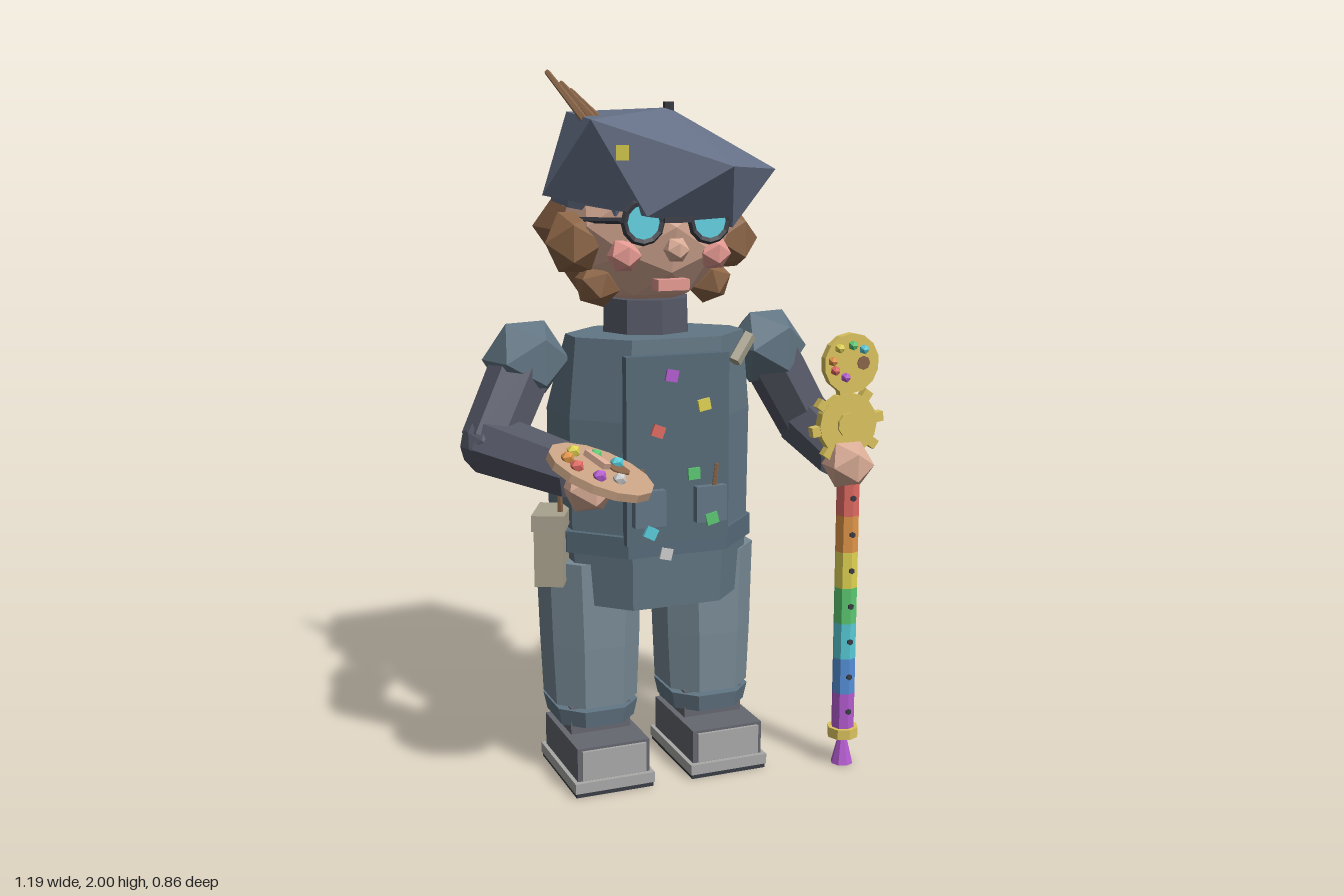
import * as THREE from 'three';
import { ConvexGeometry } from 'three/addons/geometries/ConvexGeometry.js';

const CX = -0.03, CZ = -0.11; // body axis
const V = (x, y, z) => new THREE.Vector3(x, y, z);
const C = {
  hat: 0x657086, coat: 0x627684, trousers: 0x788a95, sleeve: 0x555866, apron: 0x566a78,
  skin: 0xdcae98, hair: 0x8d6647, wood: 0xc9a384, brush: 0x8a664a, gold: 0xdcc45e,
  boot: 0x666870, sole: 0xa9a9a8, dark: 0x3a3c44, bag: 0xa8a28e, lens: 0x62cfdf, pink: 0xe59a92,
  red: 0xe06a62, orange: 0xe09548, yellow: 0xe0d352, green: 0x5cc872, cyan: 0x58cbd8,
  blue: 0x5590d8, purple: 0xb45cd0, white: 0xcfcfcf,
};

export function createModel() {
  const root = new THREE.Group();
  const mats = {};
  const mat = (c) => (mats[c] ??= new THREE.MeshStandardMaterial({ color: C[c], flatShading: true }));
  const add = (name, geo, c, p = V(0, 0, 0), parent = root) => {
    const m = new THREE.Mesh(geo, mat(c));
    m.name = name;
    m.position.copy(p);
    parent.add(m);
    return m;
  };
  const box = (name, w, h, d, c, p, parent) => add(name, new THREE.BoxGeometry(w, h, d), c, p, parent);
  const ball = (name, r, c, p, detail = 0, parent = root) => add(name, new THREE.IcosahedronGeometry(r, detail), c, p, parent);
  const cyl = (name, rt, rb, h, n, c, p, parent) => add(name, new THREE.CylinderGeometry(rt, rb, h, n), c, p, parent);
  const rod = (name, a, b, ra, rb, n, c) => {
    const m = cyl(name, rb, ra, a.distanceTo(b), n, c, a.clone().lerp(b, 0.5));
    m.quaternion.setFromUnitVectors(V(0, 1, 0), b.clone().sub(a).normalize());
    return m;
  };
  // chamfered rectangle ring (front chamfer c, back chamfer cb), counterclockwise from above
  const ring = (y, hx, zf, zb, c, cb = c) => [
    [hx - c, zf], [hx, zf - c], [hx, zb + cb], [hx - cb, zb],
    [cb - hx, zb], [-hx, zb + cb], [-hx, zf - c], [c - hx, zf]].map(([x, z]) => [x, y, z]);
  // closed loft through rings of equal count, bottom to top
  const loft = (rings) => {
    const n = rings[0].length, pos = rings.flat(2), idx = [];
    for (let r = 0; r + 1 < rings.length; r++) for (let i = 0; i < n; i++) {
      const a = r * n + i, b = r * n + (i + 1) % n;
      idx.push(a, b, b + n, a, b + n, a + n);
    }
    const t = (rings.length - 1) * n;
    for (let i = 1; i + 1 < n; i++) idx.push(0, i + 1, i, t, t + i, t + i + 1);
    const g = new THREE.BufferGeometry();
    g.setAttribute('position', new THREE.Float32BufferAttribute(pos, 3));
    g.setIndex(idx);
    g.computeVertexNormals();
    return g;
  };

  // coat, belt and neck
  add('coat', loft([ring(0.53, 0.25, 0.11, -0.39, 0.12, 0.16), ring(0.72, 0.265, 0.12, -0.4, 0.13, 0.17),
    ring(1.06, 0.27, 0.12, -0.39, 0.13, 0.17), ring(1.285, 0.25, 0.11, -0.23, 0.12, 0.13)]), 'coat', V(CX + 0.01, 0, 0));
  add('belt', loft([ring(0.685, 0.28, 0.13, -0.41, 0.135, 0.175), ring(0.745, 0.28, 0.13, -0.41, 0.135, 0.175)]),
    'apron', V(CX + 0.005, 0, 0));
  box('beltTie', 0.1, 0.055, 0.03, 'apron', V(CX, 0.715, -0.415));
  cyl('neck', 0.125, 0.13, 0.14, 8, 'sleeve', V(CX, 1.31, CZ + 0.01));

  // apron with pockets, brushes and paint spots
  box('apron', 0.3, 0.52, 0.03, 'apron', V(CX, 0.985, 0.13));
  for (const s of [-1, 1]) {
    box('apronPocket', 0.09, 0.1, 0.03, 'coat', V(CX + s * 0.09, 0.83, 0.155));
    rod('pocketBrush', V(CX + s * 0.1, 0.85, 0.155), V(CX + s * 0.11, 0.94, 0.155), 0.008, 0.006, 5, 'brush');
  }
  for (const [x, y, c] of [[-0.05, 1.19, 'purple'], [-0.09, 1.04, 'red'], [0.045, 1.105, 'yellow'],
    [0.015, 0.915, 'green'], [-0.12, 0.765, 'cyan'], [0.06, 0.79, 'green'], [-0.06, 0.69, 'white']]) {
    const spot = box('paintSpot', 0.035, 0.032, 0.01, c, V(x, y, y < 0.7 ? 0.13 : y < 0.8 ? 0.17 : 0.148));
    spot.rotation.z = x * 4;
  }
  rod('chestPencil', V(0.155, 1.21, 0.1), V(0.21, 1.28, 0.08), 0.02, 0.02, 5, 'bag');

  // legs and boots
  for (const s of [-1, 1]) {
    const x = CX + s * 0.175;
    add('trouserLeg', loft([ring(0.225, 0.122, 0.02, -0.24, 0.065), ring(0.4, 0.13, 0.025, -0.245, 0.07),
      ring(0.65, 0.137, 0.025, -0.25, 0.07)]), 'trousers', V(x, 0, 0));
    add('trouserCuff', loft([ring(0.165, 0.11, 0.015, -0.235, 0.055), ring(0.215, 0.12, 0.025, -0.245, 0.06)]), 'coat', V(x, 0, 0));
    box('ankle', 0.18, 0.12, 0.2, 'boot', V(x, 0.16, -0.115));
    box('boot', 0.215, 0.1, 0.3, 'boot', V(x, 0.09, -0.055));
    box('toePanel', 0.19, 0.085, 0.012, 'sole', V(x, 0.09, 0.098));
    box('sole', 0.238, 0.03, 0.33, 'sole', V(x, 0.028, -0.055));
    box('soleBottom', 0.23, 0.014, 0.322, 'dark', V(x, 0.007, -0.055));
  }

  // arms
  const arm = (shoulder, elbow, wrist, hand) => {
    const sh = ball('shoulder', 0.12, 'coat', shoulder);
    sh.rotation.y = 0.3;
    rod('upperSleeve', shoulder, elbow, 0.09, 0.085, 7, 'sleeve');
    ball('elbow', 0.085, 'sleeve', elbow, 1);
    rod('lowerSleeve', elbow, wrist, 0.088, 0.073, 7, 'sleeve');
    ball('hand', 0.075, 'skin', hand);
  };
  arm(V(-0.385, 1.22, -0.1), V(-0.505, 1.0, -0.04), V(-0.335, 0.95, 0.17), V(-0.31, 0.92, 0.21));
  arm(V(0.345, 1.22, -0.1), V(0.475, 0.99, -0.09), V(0.485, 0.92, 0.12), V(0.485, 0.905, 0.16));

  // held paint palette
  const blobs = [[-20, -17, 'yellow'], [0, -20, 'green'], [17, -14, 'cyan'], [-30, 0, 'orange'],
    [-26, 13, 'red'], [-10, 23, 'purple'], [8, 20, 'white']];
  const palette = new THREE.Group();
  palette.name = 'palette';
  palette.position.set(-0.305, 0.975, 0.29);
  palette.quaternion.setFromUnitVectors(V(0, 1, 0), V(0.32, 1, 0.25).normalize());
  root.add(palette);
  cyl('paletteBoard', 0.145, 0.145, 0.022, 14, 'wood', V(0, 0, 0), palette);
  cyl('thumbHole', 0.032, 0.032, 0.006, 8, 'brush', V(0.055, 0.012, -0.02), palette);
  box('thumb', 0.025, 0.03, 0.08, 'skin', V(-0.005, 0.012, -0.035), palette).rotation.y = 0.45;
  for (const [x, z, c] of blobs) ball('paintBlob', 0.019, c, V(x / 300, 0.018, z / 300), 0, palette);

  // rainbow staff
  const SX = 0.49, SZ = 0.155, seg = 0.107;
  ['purple', 'blue', 'cyan', 'green', 'yellow', 'orange', 'red'].forEach((c, i) => {
    cyl('staffBand', 0.034, 0.034, seg, 8, c, V(SX, 0.115 + seg * (i + 0.5), SZ));
    const hole = cyl('staffHole', 0.009, 0.009, 0.008, 6, 'dark', V(SX, 0.115 + seg * (i + 0.5), SZ + 0.033));
    hole.rotation.x = Math.PI / 2;
  });
  cyl('staffRing', 0.046, 0.046, 0.03, 8, 'gold', V(SX, 0.1, SZ));
  cyl('staffTip', 0.012, 0.033, 0.085, 8, 'purple', V(SX, 0.043, SZ));

  // gear and paint disc on top of the staff
  const gear = new THREE.Group();
  gear.name = 'gear';
  gear.position.set(SX - 0.005, 1.02, 0.145);
  root.add(gear);
  cyl('gearDisc', 0.09, 0.09, 0.03, 16, 'gold', V(0, 0, 0), gear).rotation.x = Math.PI / 2;
  cyl('gearHub', 0.036, 0.036, 0.045, 10, 'gold', V(0, 0, 0), gear).rotation.x = Math.PI / 2;
  for (let i = 0; i < 8; i++) {
    const a = (i + 0.2) * Math.PI / 4;
    box('gearTooth', 0.035, 0.028, 0.026, 'gold', V(0.096 * Math.cos(a), 0.096 * Math.sin(a), 0), gear).rotation.z = a;
  }
  const disc = cyl('paintDisc', 0.086, 0.086, 0.024, 14, 'gold', V(SX, 1.195, 0.15));
  disc.rotation.x = Math.PI / 2;
  cyl('discHole', 0.02, 0.02, 0.006, 8, 'brush', V(0.036, 0.012, 0), disc);
  for (const [x, z, c] of blobs.slice(0, 6)) ball('discBlob', 0.015, c, V(x / 480, 0.016, z / 480 - 0.01), 0, disc);

  // hip bag
  const bag = new THREE.Group();
  bag.name = 'hipBag';
  bag.position.set(-0.335, 0.7, -0.04);
  bag.rotation.y = -0.45;
  root.add(bag);
  box('bagBody', 0.08, 0.19, 0.15, 'bag', V(0, -0.005, 0), bag);
  box('bagFlap', 0.092, 0.045, 0.16, 'bag', V(0, 0.08, 0), bag);
  rod('bagBrush', V(-0.32, 0.78, -0.01), V(-0.325, 0.89, 0), 0.009, 0.007, 5, 'brush');

  // head
  ball('head', 1, 'skin', V(CX, 1.585, CZ), 1).scale.set(0.25, 0.235, 0.245);
  ball('backHair', 1, 'hair', V(CX, 1.57, -0.19)).scale.set(0.31, 0.225, 0.25);
  ball('nose', 0.036, 'skin', V(CX, 1.525, 0.13));
  box('mouth', 0.09, 0.03, 0.05, 'pink', V(CX, 1.43, 0.09));
  box('glassesBridge', 0.08, 0.015, 0.015, 'dark', V(CX, 1.605, 0.14));
  for (const s of [-1, 1]) {
    ball('sideHair', 0.095, 'hair', V(CX + s * 0.22, 1.54, -0.05)).rotation.y = s * 0.4;
    ball('lowerHair', 0.066, 'hair', V(CX + s * 0.165, 1.425, -0.04)).rotation.z = s * 0.3;
    ball('cheek', 0.048, 'pink', V(CX + s * 0.13, 1.51, 0.08));
    add('glassesRim', new THREE.TorusGeometry(0.053, 0.01, 5, 12), 'dark', V(CX + s * 0.095, 1.6, 0.13));
    cyl('lens', 0.05, 0.05, 0.012, 12, 'lens', V(CX + s * 0.095, 1.6, 0.13)).rotation.x = Math.PI / 2;
    rod('glassesArm', V(CX + s * 0.15, 1.605, 0.12), V(CX + s * 0.24, 1.6, -0.06), 0.009, 0.009, 5, 'dark');
  }

  // beret: tilted faceted cap over a band
  add('beret', new ConvexGeometry([
    V(0.035, 1.9, -0.09),
    V(0.36, 1.73, -0.08), V(0.09, 1.745, 0.235), V(-0.25, 1.865, 0.08), V(-0.2, 1.89, -0.28), V(0.18, 1.83, -0.37),
    V(0.14, 1.58, 0.115), V(-0.12, 1.615, 0.15), V(-0.33, 1.665, -0.1), V(-0.01, 1.72, -0.41), V(0.29, 1.64, -0.27),
    V(0, 1.6, -0.12)]), 'hat');
  const band = cyl('beretBand', 0.265, 0.25, 0.08, 10, 'hat', V(CX, 1.655, -0.13));
  band.rotation.set(0.08, 0, -0.1);
  cyl('beretStem', 0.015, 0.015, 0.025, 6, 'dark', V(0.035, 1.903, -0.09));
  box('hatSpot', 0.03, 0.04, 0.025, 'yellow', V(-0.18, 1.78, 0.128)).rotation.y = -0.5;
  for (const [x, y] of [[0, 2], [0.03, 1.97], [0.05, 1.95]])
    rod('hatBrush', V(-0.22 + x, 1.84, 0), V(-0.28 + x, y - 0.005, -0.2 + x), 0.012, 0.008, 5, 'brush');

  return root;
}
